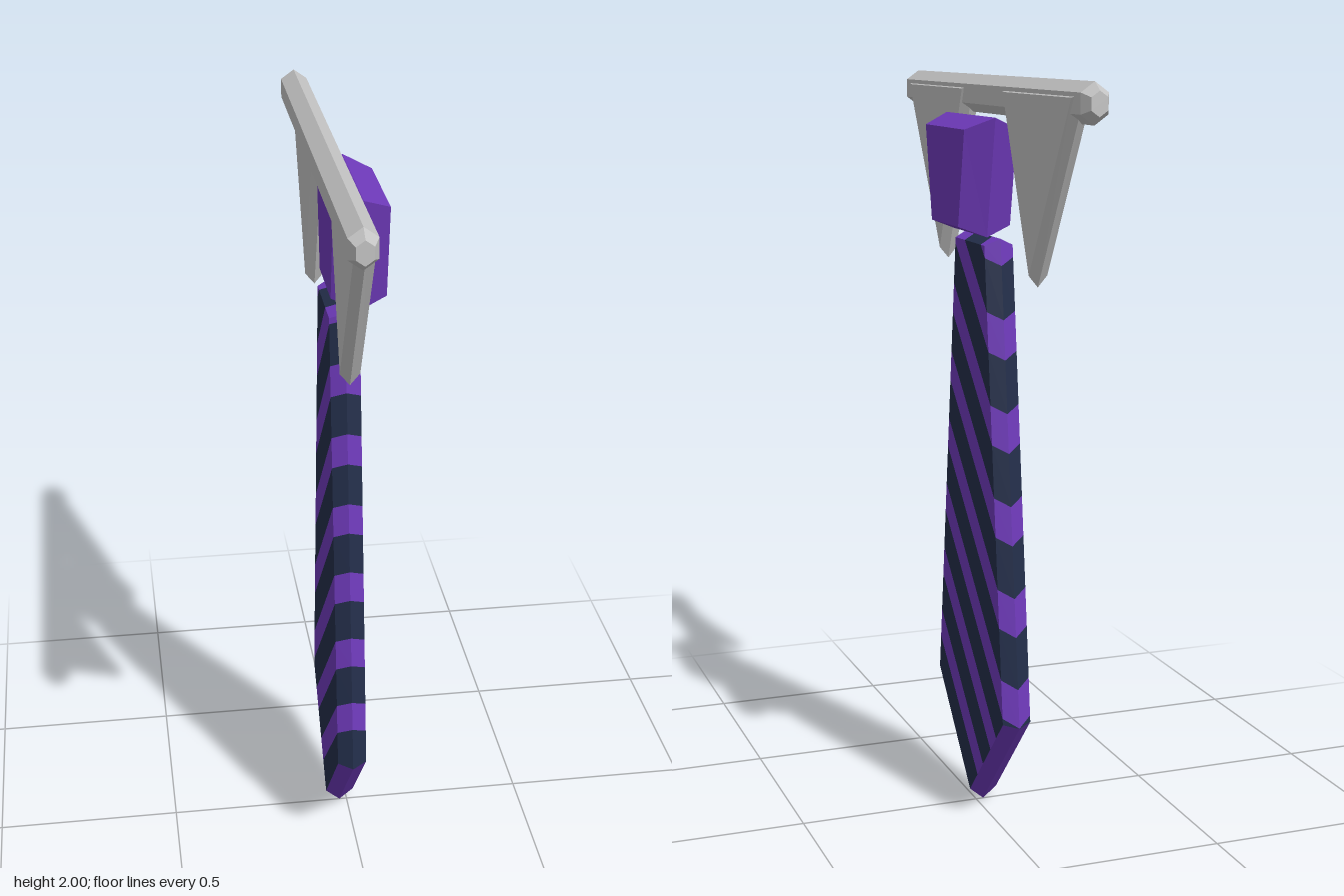
import * as THREE from 'three';

// Bevelled convex slab facing +x: a wide outline at the middle and inset faces on both sides.
// Outlines are [z, y] points. Returns its facets: front, back, then two bevels per edge.
function bevelledFacets(outer, inner, xMid, half) {
  const at = (pts, x) => pts.map(([z, y]) => new THREE.Vector3(x, y, z));
  const mid = at(outer, xMid), front = at(inner, xMid + half), back = at(inner, xMid - half);
  const facets = [front, back];
  mid.forEach((p, i) => {
    const j = (i + 1) % mid.length;
    facets.push([p, mid[j], front[j], front[i]], [p, mid[j], back[j], back[i]]);
  });
  // Turn every facet outward from the centre
  const centre = new THREE.Vector3();
  mid.forEach(p => centre.addScaledVector(p, 1 / mid.length));
  return facets.map(f => {
    const n = f[1].clone().sub(f[0]).cross(f[2].clone().sub(f[0]));
    return n.dot(f[0].clone().sub(centre)) < 0 ? [...f].reverse() : f;
  });
}

function facetMesh(name, facets, material) {
  const pos = [];
  for (const f of facets) {
    for (let i = 1; i < f.length - 1; i++) {
      for (const p of [f[0], f[i], f[i + 1]]) pos.push(p.x, p.y, p.z);
    }
  }
  const geo = new THREE.BufferGeometry();
  geo.setAttribute('position', new THREE.Float32BufferAttribute(pos, 3));
  geo.computeVertexNormals();
  const mesh = new THREE.Mesh(geo, material);
  mesh.name = name;
  return mesh;
}

// Keep the part of a polygon where dist(p) >= 0
function clip(poly, dist) {
  const out = [];
  poly.forEach((a, i) => {
    const b = poly[(i + 1) % poly.length], da = dist(a), db = dist(b);
    if (da >= 0) out.push(a);
    if ((da >= 0) !== (db >= 0)) out.push(a.clone().lerp(b, da / (da - db)));
  });
  return out;
}

export function createModel() {
  const group = new THREE.Group();
  const mat = (name, color) => {
    const m = new THREE.MeshStandardMaterial({ color });
    m.name = name;
    return m;
  };
  const grey = mat('collar grey', 0xc4c4c4);
  grey.flatShading = true;
  const purple = mat('purple cloth', 0x6f3abb);
  const navy = mat('navy cloth', 0x232e4a);

  // Collar band: six-sided rod along z with chamfered ends
  const profile = [[0, -0.675], [0.03, -0.675], [0.05, -0.645], [0.05, 0.645], [0.03, 0.675], [0, 0.675]];
  const bandGeo = new THREE.LatheGeometry(profile.map(p => new THREE.Vector2(...p)), 6);
  bandGeo.rotateX(Math.PI / 2).scale(0.81, 1, 1);
  const band = new THREE.Mesh(bandGeo, grey);
  band.name = 'collarBand';
  band.position.set(-0.055, 1.95, 0);
  group.add(band);

  // Two pointed collar flaps
  for (const s of [1, -1]) {
    const outer = [[0.625, 1.975], [0.34, 1.49], [0.135, 1.975]].map(([z, y]) => [s * z, y]);
    const inner = [[0.602, 1.962], [0.341, 1.52], [0.154, 1.962]].map(([z, y]) => [s * z, y]);
    group.add(facetMesh(s > 0 ? 'frontCollarFlap' : 'backCollarFlap',
      bevelledFacets(outer, inner, -0.04, 0.025), grey));
  }

  // Knot
  group.add(facetMesh('knot', bevelledFacets(
    [[0.187, 1.9], [0.127, 1.595], [-0.127, 1.595], [-0.187, 1.9]],
    [[0.152, 1.87], [0.105, 1.622], [-0.105, 1.622], [-0.152, 1.87]], 0.016, 0.071), purple));

  // Hanging blade, cut into diagonal stripes along y - z
  const blade = bevelledFacets(
    [[0.127, 1.59], [0.28, 0.31], [0, 0.005], [-0.28, 0.31], [-0.127, 1.59]],
    [[0.112, 1.572], [0.258, 0.318], [0, 0.038], [-0.258, 0.318], [-0.112, 1.572]], -0.021, 0.039);
  const purpleParts = [], navyParts = [];
  const edges = [-1];
  for (let k = 0; k < 8; k++) edges.push(0.165 + 0.213 * k, 0.256 + 0.213 * k);
  blade.forEach((facet, i) => {
    // The bevels along the pointed tip are plain
    if (i >= 4 && i <= 7) return purpleParts.push(facet);
    for (let k = 0; k < edges.length - 1; k++) {
      const low = clip(facet, p => p.y - p.z - edges[k]);
      const piece = clip(low, p => edges[k + 1] - p.y + p.z);
      if (piece.length > 2) (k % 2 ? purpleParts : navyParts).push(piece);
    }
  });
  const tie = new THREE.Group();
  tie.name = 'tieBlade';
  tie.add(facetMesh('purpleStripes', purpleParts, purple), facetMesh('navyStripes', navyParts, navy));
  group.add(tie);

  return group;
}
